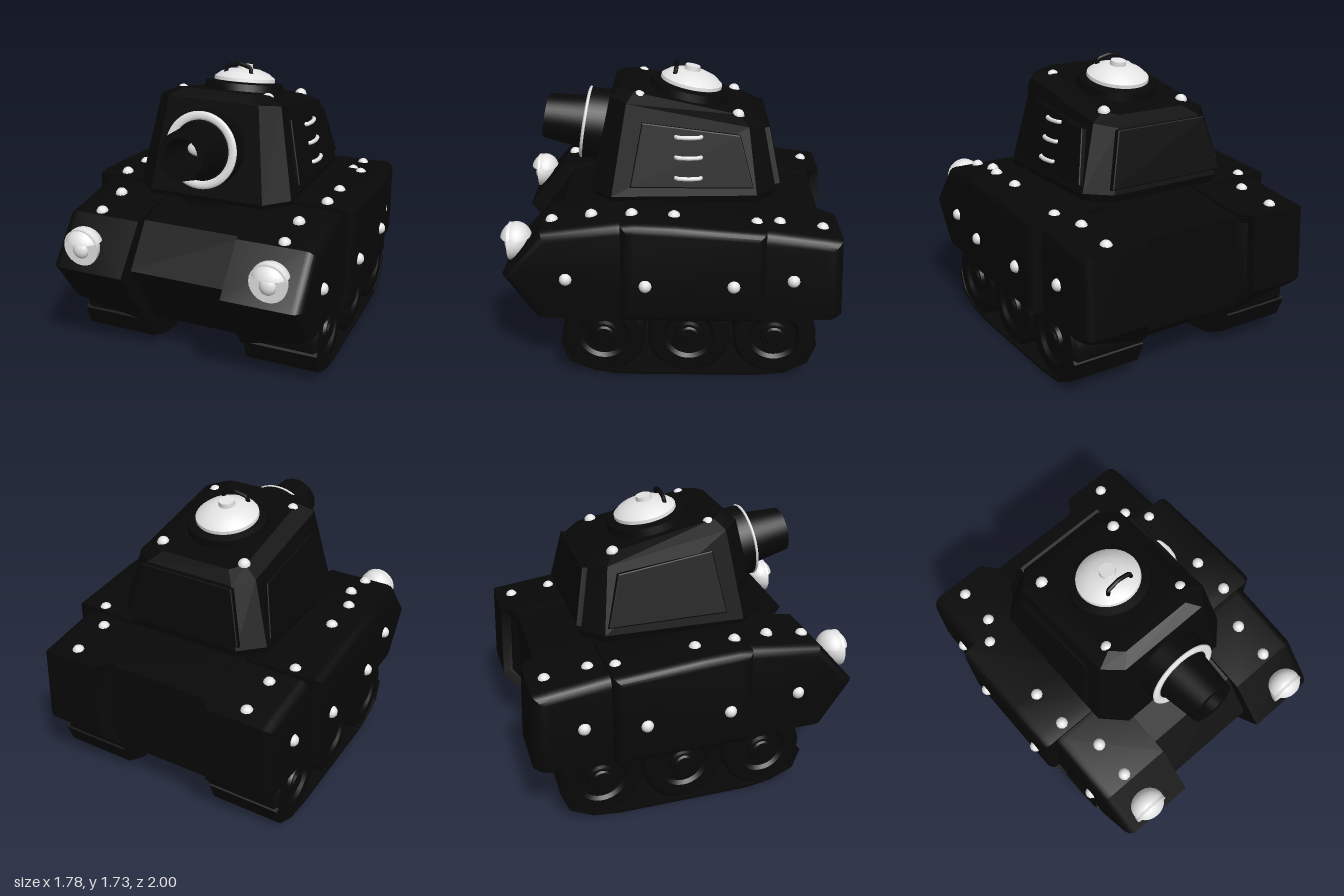
import * as THREE from 'three';
import { toCreasedNormals } from 'three/addons/utils/BufferGeometryUtils.js';

const black = new THREE.MeshStandardMaterial({ color: 0x080808, side: THREE.DoubleSide });
black.name = 'black armour';
const silver = new THREE.MeshStandardMaterial({ color: 0xe4e4e4, side: THREE.DoubleSide });
silver.name = 'silver';

function add(parent, name, geometry, material, x = 0, y = 0, z = 0) {
  const mesh = new THREE.Mesh(geometry, material);
  mesh.name = name;
  mesh.position.set(x, y, z);
  parent.add(mesh);
  return mesh;
}

// Side profile of (z, y) points, extruded from x0 to x1 with rounded edges
function slab(profile, x0, x1, bevel = 0) {
  const shape = new THREE.Shape(profile.map(([z, y]) => new THREE.Vector2(z, y)));
  const geometry = new THREE.ExtrudeGeometry(shape, {
    depth: x1 - x0 - 2 * bevel, bevelEnabled: bevel > 0, bevelThickness: bevel,
    bevelSize: bevel, bevelOffset: -bevel, bevelSegments: 4,
  });
  return geometry.rotateY(-Math.PI / 2).translate(x1 - bevel, 0, 0);
}

// Chamfered rectangles stacked into a closed body; each has its own roof tilt
function loft(rings) {
  const pos = [], index = [];
  for (const [w, zf, zb, c, yf, yb] of rings) {
    const outline = [[w, zf - c], [w - c, zf], [c - w, zf], [-w, zf - c],
      [-w, zb + c], [c - w, zb], [w - c, zb], [w, zb + c]];
    for (const [x, z] of outline) pos.push(x, yb + (yf - yb) * (z - zb) / (zf - zb), z);
  }
  for (let r = 0; r < rings.length - 1; r++) {
    for (let i = 0; i < 8; i++) {
      const a = r * 8 + i, b = r * 8 + (i + 1) % 8;
      index.push(a, a + 8, b, b, a + 8, b + 8);
    }
  }
  const top = (rings.length - 1) * 8;
  for (let i = 1; i < 7; i++) index.push(0, i, i + 1, top, top + i + 1, top + i);
  const geometry = new THREE.BufferGeometry();
  geometry.setAttribute('position', new THREE.Float32BufferAttribute(pos, 3));
  geometry.setIndex(index);
  const flat = geometry.toNonIndexed();
  flat.computeVertexNormals();
  return flat;
}

function lathe(points, segments = 40) {
  const profile = points.map(([r, y]) => new THREE.Vector2(r, y));
  return toCreasedNormals(new THREE.LatheGeometry(profile, segments), 0.6);
}

function handle(points, radius) {
  const curve = new THREE.CatmullRomCurve3(points.map((p) => new THREE.Vector3(...p)), false, 'catmullrom', 0.2);
  return new THREE.TubeGeometry(curve, 20, radius, 8);
}

const boltShape = new THREE.SphereGeometry(0.038, 10, 8);

// Track guard: flat inner wall splayed at the rear, underside rising outward
function fenderShape() {
  const geometry = slab([[0.97, 0.65], [0.74, 0.92], [0.3, 0.98], [-0.5, 0.94], [-0.89, 0.89],
    [-0.98, 0.88], [-1, 0.41], [-0.89, 0.28], [-0.84, 0.22], [0.67, 0.22]], 0.25, 0.78, 0.06);
  const p = geometry.attributes.position;
  for (let i = 0; i < p.count; i++) {
    let x = p.getX(i), y = p.getY(i), z = p.getZ(i);
    if (x < 0.315) x = z < -0.92 && y > 0.3 ? 0.38 : 0.31;
    const lift = 0.22 + 0.17 * Math.min(1, (x - 0.31) / 0.46) - y;
    if (lift > 0) {
      y += lift;
      z += lift * (z > 0 ? 0.7 : -0.75);
    }
    p.setXYZ(i, x, y, z);
  }
  return toCreasedNormals(geometry, 0.5);
}

// Hooded headlight: rear bowl, flat face, upper visor and bulb
function buildHeadlight(parent) {
  const lamp = new THREE.Group();
  lamp.name = 'headlight';
  lamp.position.set(0.58, 0.79, 0.905);
  parent.add(lamp);
  add(lamp, 'lampBowl', new THREE.SphereGeometry(0.112, 24, 12, 0, Math.PI).rotateY(Math.PI), silver, 0, 0, 0.04);
  add(lamp, 'lampFace', new THREE.CircleGeometry(0.112, 24), silver, 0, 0, 0.04);
  const visor = add(lamp, 'lampVisor', new THREE.SphereGeometry(0.114, 24, 10, 0, Math.PI * 2, 0, 1.25), silver);
  visor.scale.z = 0.84;
  add(lamp, 'lampBulb', new THREE.SphereGeometry(0.05, 12, 10), silver, 0, -0.015, 0.04).scale.z = 0.6;
}

function buildHull(model) {
  const hull = new THREE.Group();
  hull.name = 'hull';
  model.add(hull);

  add(hull, 'centreHull', slab([[0.85, 0.65], [0.66, 0.9], [0.3, 0.96], [-0.5, 0.93],
    [-0.89, 0.87], [-0.89, 0.3], [-0.8, 0.22], [0.58, 0.22]], -0.33, 0.33), black);
  add(hull, 'turretRing', new THREE.CylinderGeometry(0.43, 0.43, 0.08, 40), black, 0, 0.97, 0);

  const fender = fenderShape();
  const sideArmour = toCreasedNormals(slab([[0.28, 0.4], [0.28, 1.0], [0.2, 1.01], [-0.03, 1.0],
    [-0.54, 0.96], [-0.54, 0.4]], 0.35, 0.855, 0.05), 0.5);

  // Thin track band under the wheels
  const outer = [[0.645, 0.215], [0.6, 0.09], [0.45, 0.025], [0.3, 0.002], [-0.5, 0.002],
    [-0.67, 0.02], [-0.81, 0.09], [-0.86, 0.215]];
  const inner = outer.map(([z, y]) => [-0.11 + (z + 0.11) * 0.97, y + 0.015]).reverse();
  const track = slab([...outer, ...inner], 0.315, 0.77);
  const wheelShape = lathe([[0, 0], [0.245, 0], [0.245, 0.435], [0.225, 0.455], [0.15, 0.455],
    [0.13, 0.435], [0.085, 0.435], [0.075, 0.455], [0.06, 0.455], [0.05, 0.465], [0, 0.465]]);

  for (const s of [1, -1]) {
    const half = new THREE.Group();
    half.name = s > 0 ? 'leftSide' : 'rightSide';
    half.scale.x = s;
    hull.add(half);
    add(half, 'fender', fender, black);
    add(half, 'sideArmour', sideArmour, black);
    add(half, 'track', track, black);
    for (const z of [0.39, -0.11, -0.61]) {
      add(half, 'wheel', wheelShape, black, 0.31, 0.265, z).rotation.z = -Math.PI / 2;
    }
    // Bolts on the deck and flank
    for (const [x, y, z] of [[0.58, 0.88, -0.88], [0.58, 0.912, -0.63], [0.67, 0.948, -0.49],
      [0.67, 0.99, -0.02], [0.67, 1.0, 0.22], [0.58, 0.955, 0.46], [0.58, 0.92, 0.69],
      [0.775, 0.64, 0.6], [0.85, 0.64, 0.14], [0.85, 0.64, -0.36], [0.775, 0.64, -0.705]]) {
      add(half, 'hullBolt', boltShape, silver, x, y, z);
    }
    buildHeadlight(half);
  }
}

function buildTurret(model) {
  const turret = new THREE.Group();
  turret.name = 'turret';
  model.add(turret);

  add(turret, 'turretBody', loft([
    [0.475, 0.47, -0.61, 0.12, 1.0, 1.0],
    [0.49, 0.48, -0.63, 0.13, 1.03, 1.05],
    [0.385, 0.36, -0.55, 0.1, 1.585, 1.41],
    [0.29, 0.29, -0.47, 0.07, 1.625, 1.46],
  ]), black);

  // Applied armour plates on the flanks and rear
  for (const s of [1, -1]) {
    const plate = add(turret, 'flankPlate', slab([[0.24, 0], [0.17, 0.38], [-0.4, 0.31], [-0.48, 0]],
      -0.02, 0.02, 0.008), black, s * 0.483, 1.09, 0);
    plate.rotation.z = s * 0.227;
    for (const z of [0.19, -0.39]) {
      add(turret, 'roofBolt', boltShape, silver, s * 0.275, 1.542 + z * 0.19, z);
    }
  }
  const rear = slab([[-0.38, 0], [-0.3, 0.33], [0.3, 0.33], [0.38, 0]], -0.02, 0.02, 0.008).rotateY(Math.PI / 2);
  add(turret, 'rearPlate', rear, black, 0, 1.08, -0.625).rotation.x = 0.2;

  // Three grab rungs on the left flank
  for (const [x, y] of [[0.4, 1.385], [0.425, 1.27], [0.452, 1.153]]) {
    add(turret, 'grabRung', handle([[0, 0, -0.015], [0.045, 0, -0.035], [0.055, 0, -0.1],
      [0.045, 0, -0.165], [0, 0, -0.185]], 0.013), silver, x, y, 0);
  }

  // Gun, raised slightly
  const gun = new THREE.Group();
  gun.name = 'gun';
  gun.position.set(0, 1.335, 0.535);
  gun.rotation.x = Math.PI / 2 - 0.163;
  turret.add(gun);
  add(gun, 'mantlet', lathe([[0.235, -0.3], [0.22, -0.05], [0.22, 0], [0.16, 0.005]]), black);
  add(gun, 'mantletRing', new THREE.TorusGeometry(0.2, 0.026, 10, 48).rotateX(Math.PI / 2), silver).scale.y = 0.5;
  add(gun, 'barrel', lathe([[0.17, -0.02], [0.138, 0.25], [0.1, 0.25], [0.085, 0.02], [0, 0.02]]), black);
  const shell = add(gun, 'shell', new THREE.SphereGeometry(0.067, 20, 10), silver, 0, 0.03, -0.01);
  shell.scale.set(1, 0.4, 0.62);

  // Domed hatch following the roof slope
  const hatch = new THREE.Group();
  hatch.name = 'hatch';
  hatch.position.set(0, 1.545, -0.105);
  hatch.rotation.x = -0.2;
  turret.add(hatch);
  add(hatch, 'hatchCollar', lathe([[0.25, -0.03], [0.24, 0.04], [0.18, 0.05]]), black);
  add(hatch, 'hatchLid', lathe([[0.18, 0.035], [0.19, 0.05], [0.188, 0.07], [0.15, 0.1],
    [0.09, 0.122], [0, 0.13]]), silver);
  add(hatch, 'hatchKnob', new THREE.CylinderGeometry(0.046, 0.05, 0.03, 20), silver, 0, 0.138, 0.01);
  add(hatch, 'hatchHandle', handle([[-0.085, 0.09, 0.11], [-0.075, 0.135, 0.11], [0, 0.155, 0.11],
    [0.075, 0.135, 0.11], [0.085, 0.09, 0.11]], 0.013), black);
}

export function createModel() {
  const model = new THREE.Group();
  model.name = 'tank';
  buildHull(model);
  buildTurret(model);
  return model;
}
